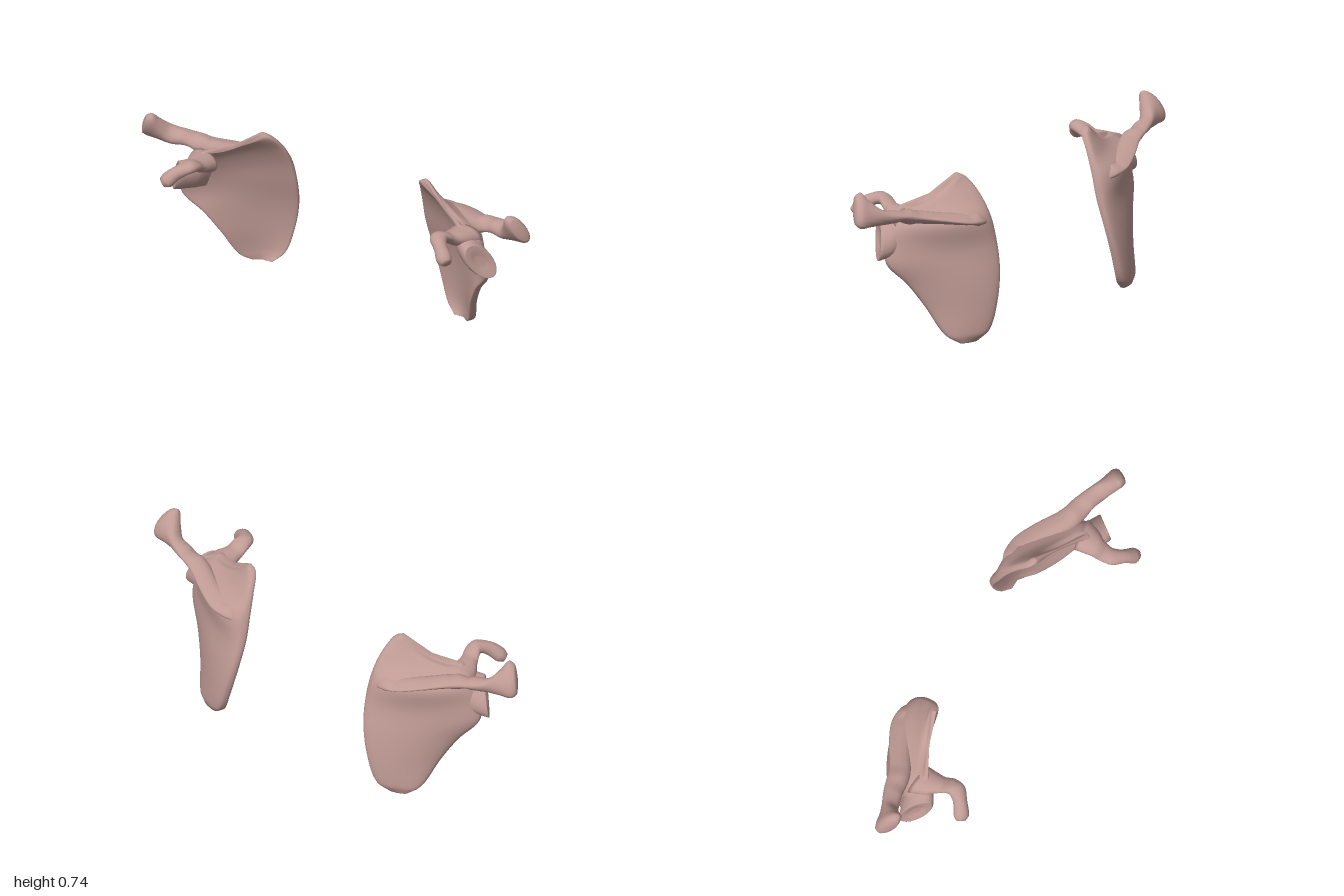
import * as THREE from 'three';

const V = (p) => new THREE.Vector3(...p);
const curve = (pts) => new THREE.CatmullRomCurve3(pts.map(V));

// Closed surface through a list of rings, fanned shut at both ends
function skin(rings) {
  const n = rings[0].length, pos = [], idx = [];
  rings.forEach((r) => r.forEach((p) => pos.push(p.x, p.y, p.z)));
  for (let i = 0; i < rings.length - 1; i++) {
    for (let j = 0; j < n; j++) {
      const k = (j + 1) % n, a = i * n + j, b = i * n + k;
      idx.push(a, b, b + n, a, b + n, a + n);
    }
  }
  [0, rings.length - 1].forEach((i) => {
    const c = rings[i].reduce((s, p) => s.add(p), new THREE.Vector3()).divideScalar(n);
    const ci = pos.length / 3;
    pos.push(c.x, c.y, c.z);
    for (let j = 0; j < n; j++) {
      const a = i * n + j, b = i * n + (j + 1) % n;
      if (i === 0) idx.push(ci, b, a); else idx.push(ci, a, b);
    }
  });
  const g = new THREE.BufferGeometry();
  g.setAttribute('position', new THREE.Float32BufferAttribute(pos, 3));
  g.setIndex(idx);
  g.computeVertexNormals();
  return g;
}

// Sections are [centre, half axis a, half axis b, flare at the -a side]
function limb(sections, steps, sides = 18) {
  const c = curve(sections.map((s) => s[0]));
  const a = curve(sections.map((s) => s[1]));
  const b = curve(sections.map((s) => s[2]));
  const f = sections.map((s) => s[3] || 0);
  const rings = [];
  for (let i = 0; i <= steps; i++) {
    const t = i / steps, u = t * (f.length - 1), k = Math.min(Math.floor(u), f.length - 2);
    const flare = THREE.MathUtils.lerp(f[k], f[k + 1], u - k);
    const C = c.getPoint(t), A = a.getPoint(t), B = b.getPoint(t), ring = [];
    for (let j = 0; j < sides; j++) {
      const w = (j / sides) * Math.PI * 2, co = Math.cos(w);
      ring.push(C.clone().addScaledVector(A, co)
        .addScaledVector(B, Math.sin(w) * (1 - flare * co)));
    }
    rings.push(ring);
  }
  return skin(rings);
}

// Blade: rows run from the inner border to the outer border, bottom to top
function blade() {
  const inner = curve([[0.475, 0.003, -0.232], [0.425, 0.055, -0.263], [0.382, 0.18, -0.272], [0.35, 0.32, -0.256],
    [0.337, 0.45, -0.22], [0.343, 0.56, -0.185], [0.36, 0.65, -0.138], [0.388, 0.715, -0.085], [0.425, 0.738, -0.065]]);
  const outer = curve([[0.56, 0.005, -0.205], [0.605, 0.045, -0.16], [0.655, 0.17, -0.09], [0.715, 0.28, -0.035],
    [0.79, 0.38, 0.02], [0.785, 0.46, 0.035], [0.755, 0.54, 0.045], [0.69, 0.61, 0.045], [0.67, 0.62, 0.045]]);
  const steps = 48, sides = 44, rings = [];
  for (let i = 0; i <= steps; i++) {
    const t = i / steps;
    const m = inner.getPoint(t), l = outer.getPoint(t);
    const back = new THREE.Vector3(l.z - m.z, 0, m.x - l.x).normalize();
    const bulge = 0.012 + 0.04 * Math.sin(Math.PI * t);
    const round = Math.min(1, 0.5 + t * 5, 0.5 + (1 - t) * 8);
    const ring = [];
    for (let j = 0; j < sides; j++) {
      const w = (j / sides) * Math.PI * 2, s = (1 + Math.cos(w)) / 2, sn = Math.sin(w);
      const half = (0.013 + 0.02 * (2 * s - 1) ** 2) * round;
      const arch = 4 * s * (1 - s);
      // Slope rising to the foot of the spine: long below it, short above it
      const d = t - (0.62 + 0.2 * s);
      const slope = sn > 0 ? 0.05 * sn * Math.exp(-((d / (d < 0 ? 0.13 : 0.06)) ** 2)) : 0;
      const p = m.clone().lerp(l, s);
      p.addScaledVector(back, Math.sign(sn) * Math.sqrt(Math.abs(sn)) * half + bulge * arch + slope);
      p.y -= 0.04 * arch * t ** 4;
      ring.push(p);
    }
    rings.push(ring);
  }
  return skin(rings);
}

// Ridge across the back of the blade, ending in the flattened shoulder tip
const spine = () => limb([
  [[0.375, 0.535, -0.2], [0.01, -0.005, -0.02], [0, 0.02, 0], 0.3],
  [[0.42, 0.545, -0.208], [0.016, 0, -0.032], [0, 0.024, 0], 0.4],
  [[0.5, 0.56, -0.188], [0.02, 0, -0.045], [0, 0.024, 0], 0.5],
  [[0.6, 0.578, -0.135], [0.02, 0.006, -0.046], [0, 0.026, 0], 0.5],
  [[0.7, 0.598, -0.073], [0.018, 0.008, -0.046], [0, 0.03, 0], 0.4],
  [[0.8, 0.62, -0.045], [0.01, 0.006, -0.042], [0, 0.03, 0], 0.2],
  [[0.865, 0.627, -0.02], [0.01, 0.016, -0.037], [0, 0.035, 0.006]],
  [[0.915, 0.652, 0.006], [0.013, 0.02, -0.032], [-0.016, 0.053, 0.026]],
  [[0.953, 0.671, 0.024], [0.014, 0.02, -0.03], [-0.034, 0.068, 0.036]],
  [[0.975, 0.674, 0.037], [0.011, 0.016, -0.023], [-0.027, 0.054, 0.028]],
  [[0.98, 0.674, 0.041], [0.005, 0.007, -0.01], [-0.012, 0.024, 0.012]],
], 50);

// Beak-like hook reaching forward
const hook = () => limb([
  [[0.68, 0.56, 0.01], [0.075, 0, -0.01], [0, 0.055, 0]],
  [[0.67, 0.57, 0.07], [0.06, 0, 0], [0, 0.044, 0.012]],
  [[0.658, 0.582, 0.11], [0.045, 0, 0], [0, 0.035, 0.01]],
  [[0.647, 0.608, 0.15], [0.042, 0, -0.005], [0, 0.028, 0.006]],
  [[0.648, 0.616, 0.19], [0.034, 0, -0.02], [0, 0.027, 0]],
  [[0.685, 0.595, 0.232], [0.018, 0, -0.026], [0.008, 0.029, 0.007]],
  [[0.717, 0.564, 0.257], [0.018, 0, -0.03], [0.016, 0.029, 0.007]],
  [[0.738, 0.549, 0.268], [0.012, 0, -0.019], [0.01, 0.019, 0.005]],
], 32);

// Thick neck running out to the shallow oval joint socket
const socket = () => limb([
  [[0.66, 0.5, -0.01], [0.015, 0, -0.022], [-0.03, 0.08, 0.01]],
  [[0.7, 0.5, 0.02], [0.031, 0, -0.044], [-0.03, 0.085, 0.014]],
  [[0.74, 0.494, 0.042], [0.037, 0, -0.052], [-0.03, 0.085, 0.02]],
  [[0.775, 0.485, 0.06], [0.038, 0, -0.054], [-0.03, 0.083, 0.024]],
  [[0.793, 0.482, 0.066], [0.035, 0, -0.049], [-0.032, 0.082, 0.025]],
  [[0.791, 0.482, 0.065], [0.026, 0, -0.037], [-0.023, 0.06, 0.018]],
  [[0.784, 0.482, 0.062], [0.012, 0, -0.017], [-0.01, 0.026, 0.008]],
], 30, 24);

// Mirror across x and restore the corner order
function mirror(geo) {
  const g = geo.clone().scale(-1, 1, 1), ix = g.index;
  for (let i = 0; i < ix.count; i += 3) {
    const b = ix.getX(i + 1);
    ix.setX(i + 1, ix.getX(i + 2));
    ix.setX(i + 2, b);
  }
  g.computeVertexNormals();
  return g;
}

export function createModel() {
  const bone = new THREE.MeshStandardMaterial({ color: 0xbf9a94 });
  bone.name = 'bone';
  const model = new THREE.Group();
  model.name = 'shoulderBlades';
  const left = new THREE.Group(), right = new THREE.Group();
  left.name = 'leftShoulderBlade';
  right.name = 'rightShoulderBlade';
  const parts = { blade: blade(), spineAndShoulderTip: spine(), forwardHook: hook(), jointSocket: socket() };
  for (const [name, geo] of Object.entries(parts)) {
    [[left, geo], [right, mirror(geo)]].forEach(([group, g]) => {
      const mesh = new THREE.Mesh(g, bone);
      mesh.name = name;
      group.add(mesh);
    });
  }
  model.add(left, right);
  return model;
}
